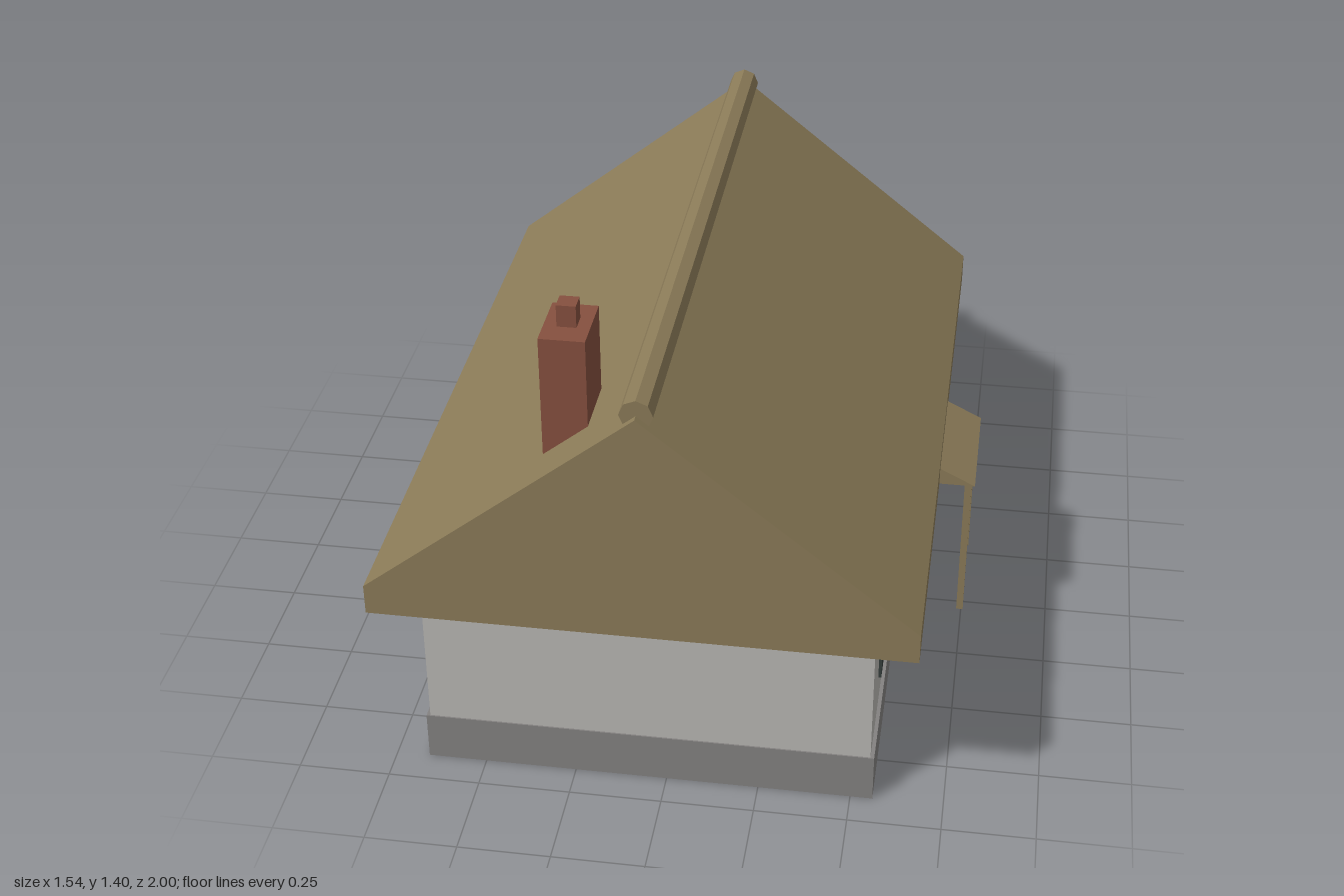
import * as THREE from 'three';

const paint = (name, color) => {
  const m = new THREE.MeshStandardMaterial({ color });
  m.name = name;
  return m;
};

export function createModel() {
  const house = new THREE.Group();
  house.name = 'cottage';

  const thatch = paint('thatch', 0x8b7b58);
  const plaster = paint('plaster', 0xb9b7b3);
  const stone = paint('stone', 0x848281);
  const brick = paint('brick', 0x86503f);
  const blue = paint('bluePaint', 0x566a8a);
  const glass = paint('darkGlass', 0x363f3d);

  const add = (name, geometry, material) => {
    const mesh = new THREE.Mesh(geometry, material);
    mesh.name = name;
    house.add(mesh);
    return mesh;
  };

  // Box given by its limits on each axis
  const box = (name, material, [x0, x1], [y0, y1], [z0, z1]) => {
    const mesh = add(name, new THREE.BoxGeometry(x1 - x0, y1 - y0, z1 - z0), material);
    mesh.position.set((x0 + x1) / 2, (y0 + y1) / 2, (z0 + z1) / 2);
    return mesh;
  };

  // Outline in x and y, extruded along z about the middle
  const prism = (name, material, points, depth) => {
    const shape = new THREE.Shape(points.map(([x, y]) => new THREE.Vector2(x, y)));
    const geometry = new THREE.ExtrudeGeometry(shape, { depth, bevelEnabled: false });
    geometry.translate(0, 0, -depth / 2);
    return add(name, geometry, material);
  };

  // Base and walls
  box('plinth', stone, [-0.66, 0.56], [0, 0.14], [-0.907, 0.907]);
  box('walls', plaster, [-0.65, 0.55], [0.14, 0.56], [-0.903, 0.903]);

  // Thatched roof with solid gables, and the ridge roll
  prism('roof', thatch,
    [[-0.77, 0.55], [0.667, 0.55], [0.667, 0.635], [-0.05, 1.21], [-0.77, 0.635]], 2);
  const ridgeGeometry = new THREE.CylinderGeometry(0.043, 0.043, 1.96, 8).toNonIndexed();
  ridgeGeometry.computeVertexNormals();
  const ridge = add('ridgeRoll', ridgeGeometry, thatch);
  ridge.rotation.x = Math.PI / 2;
  ridge.position.set(-0.05, 1.21, 0);

  // Chimney
  box('chimney', brick, [-0.31, -0.192], [0.9, 1.34], [0.69, 0.87]);
  box('chimneyPot', brick, [-0.276, -0.226], [1.34, 1.4], [0.755, 0.805]);

  // Door with a glazed panel
  box('door', blue, [0.549, 0.557], [0.14, 0.527], [-0.09, 0.09]);
  box('doorGlass', glass, [0.553, 0.56], [0.265, 0.485], [-0.065, 0.065]);

  // Windows on both sides of the door
  for (const z of [-0.56, 0.56]) {
    box('window', glass, [0.549, 0.558], [0.257, 0.495], [z - 0.15, z + 0.15]);
  }
  box('windowLintel', blue, [0.549, 0.567], [0.497, 0.555], [0.36, 0.76]);

  // Porch roof on two posts
  prism('porchRoof', thatch, [[0.55, 0.543], [0.767, 0.543], [0.55, 0.652]], 0.36);
  for (const z of [-0.16, 0.16]) {
    box('porchPost', thatch, [0.738, 0.757], [0.1, 0.545], [z - 0.009, z + 0.009]);
  }

  return house;
}
